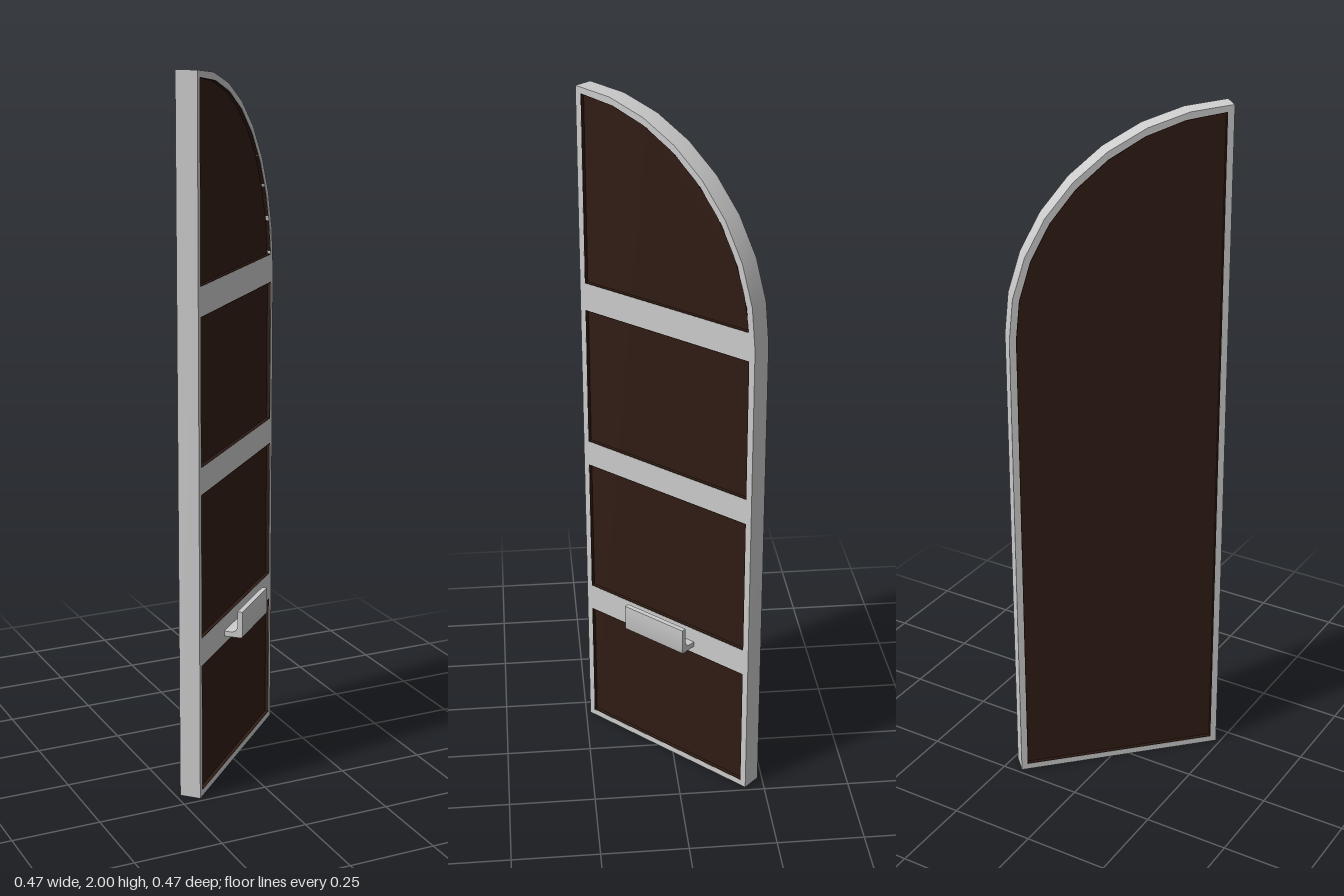
import * as THREE from 'three';
import { toCreasedNormals } from 'three/addons/utils/BufferGeometryUtils.js';

const HALF = 0.3055, SPRING = 1.4, RX = 0.611, RY = 0.6; // half width and quarter arch
const THICK = 0.06, BORDER = 0.018, RECESS = 0.01;

const grey = new THREE.MeshStandardMaterial({ color: 0xcccccc });
const brown = new THREE.MeshStandardMaterial({ color: 0x301c14 });

// Door outline, inset by e, starting at height y0 (which may lie above the arch spring)
function archPoints(e, y0) {
  const rx = RX - e, ry = RY - e;
  const a0 = y0 > SPRING ? Math.asin((y0 - SPRING) / ry) : 0;
  const a1 = Math.acos(e / rx);
  const pts = [new THREE.Vector2(-HALF + e, y0)];
  if (y0 < SPRING) pts.push(new THREE.Vector2(HALF - e, y0));
  for (let i = 0; i <= 8; i++) {
    const a = a0 + (a1 - a0) * i / 8;
    pts.push(new THREE.Vector2(-HALF + rx * Math.cos(a), SPRING + ry * Math.sin(a)));
  }
  return pts;
}

function rectPoints(e, y0, y1) {
  const x = HALF - e;
  return [[-x, y0], [x, y0], [x, y1], [-x, y1]].map(p => new THREE.Vector2(...p));
}

// Extrude an outline (with an optional hole) between two depths
function slab(name, material, outer, inner, z0, z1) {
  const shape = new THREE.Shape(outer);
  if (inner) shape.holes.push(new THREE.Path(inner));
  let geo = new THREE.ExtrudeGeometry(shape, { depth: z1 - z0, bevelEnabled: false });
  geo = toCreasedNormals(geo.translate(0, 0, z0), 0.5);
  const mesh = new THREE.Mesh(geo, material);
  mesh.name = name;
  return mesh;
}

export function createModel() {
  const model = new THREE.Group();
  model.name = 'archedShutter';
  const door = new THREE.Group();
  door.name = 'door';
  door.rotation.y = Math.PI / 4;
  model.add(door);

  const front = THICK / 2, floor = front - RECESS, lip = front - 0.0005;
  const b = BORDER, t = 0.002;

  // Outer frame and the recessed board inside it
  door.add(slab('frame', grey, archPoints(0, 0), archPoints(b, b), -front, front));
  door.add(slab('board', brown, archPoints(b, b), null, -floor, floor));

  // Horizontal rails across the front
  const rails = [[0.39, 0.47], [0.88, 0.955], [1.365, 1.445]];
  for (const [y0, y1] of rails) {
    door.add(slab('rail', grey, rectPoints(b, y0, y1), null, floor - 0.005, front));
  }

  // Dark linings around each recess
  door.add(slab('backLining', brown, archPoints(b, b), archPoints(b + t, b + t), -lip, -floor));
  const bottoms = [b, ...rails.map(r => r[1])];
  bottoms.forEach((y0, i) => {
    const top = i < rails.length;
    const outer = top ? rectPoints(b, y0, rails[i][0]) : archPoints(b, y0);
    const inner = top ? rectPoints(b + t, y0 + t, rails[i][0] - t) : archPoints(b + t, y0 + t);
    door.add(slab('frontLining', brown, outer, inner, floor, lip));
  });

  // Handle: a ledge with a rounded inside corner and an upturned lip
  const profile = new THREE.Shape();
  profile.moveTo(front, 0.412);
  profile.lineTo(0.08, 0.412);
  profile.quadraticCurveTo(0.084, 0.412, 0.084, 0.418);
  profile.lineTo(0.084, 0.49);
  profile.lineTo(0.069, 0.49);
  profile.lineTo(0.069, 0.447);
  profile.quadraticCurveTo(0.068, 0.428, 0.05, 0.427);
  profile.lineTo(front, 0.427);
  const length = 0.217;
  let hook = new THREE.ExtrudeGeometry(profile, { depth: length, bevelEnabled: false, curveSegments: 6 });
  hook = toCreasedNormals(hook.translate(0, 0, -length / 2).rotateY(-Math.PI / 2), 0.6);
  const handle = new THREE.Mesh(hook, grey);
  handle.name = 'handle';
  door.add(handle);

  return model;
}
